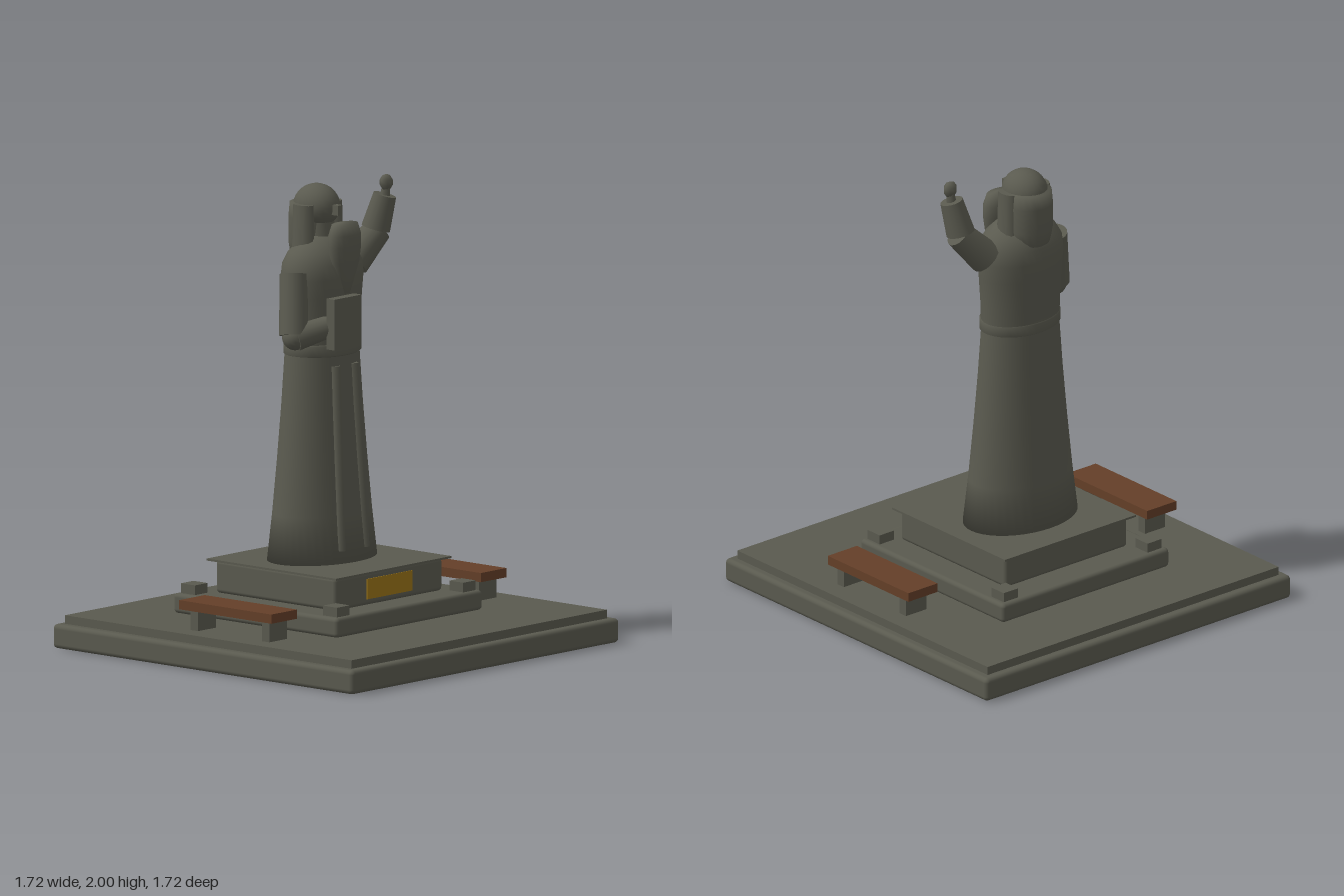
import * as THREE from 'three';
import { RoundedBoxGeometry } from 'three/addons/geometries/RoundedBoxGeometry.js';

const V = (x, y, z) => new THREE.Vector3(x, y, z);

export function createModel() {
  const model = new THREE.Group();
  model.name = 'statueMonument';
  const mat = (name, color) => {
    const m = new THREE.MeshStandardMaterial({ color });
    m.name = name;
    return m;
  };
  const stone = mat('stone', 0x5a5a4f);
  const wood = mat('wood', 0x643f28);
  const brass = mat('brass', 0x9a7418);

  const add = (name, geo, material = stone, pos = [0, 0, 0], parent = model) => {
    const m = new THREE.Mesh(geo, material);
    m.name = name;
    m.position.set(...pos);
    parent.add(m);
    return m;
  };
  // Box given by its limits on each axis; round > 0 softens the edges
  const block = (name, [x0, x1], [y0, y1], [z0, z1], material = stone, round = 0, parent = model) => {
    const s = [x1 - x0, y1 - y0, z1 - z0];
    const geo = round ? new RoundedBoxGeometry(...s, 3, round) : new THREE.BoxGeometry(...s);
    return add(name, geo, material, [(x0 + x1) / 2, (y0 + y1) / 2, (z0 + z1) / 2], parent);
  };
  // Turned shape from [radius, y] pairs, flattened front to back
  const turned = (name, pts, depth, z, segments = 32, parent = model) => {
    const geo = new THREE.LatheGeometry(pts.map(([r, y]) => new THREE.Vector2(r, y)), segments);
    geo.scale(1, 1, depth);
    return add(name, geo, stone, [0, 0, z], parent);
  };
  // Tapered cylinder between two points
  const limb = (name, a, b, ra, rb, parent = model, segments = 16) => {
    const m = add(name, new THREE.CylinderGeometry(rb, ra, a.distanceTo(b), segments), stone, [0, 0, 0], parent);
    m.position.copy(a).add(b).multiplyScalar(0.5);
    m.quaternion.setFromUnitVectors(V(0, 1, 0), b.clone().sub(a).normalize());
    return m;
  };

  // Stepped base and pedestal
  block('base', [-0.86, 0.86], [0, 0.105], [-0.86, 0.86], stone, 0.02);
  block('paving', [-0.82, 0.82], [0.1, 0.142], [-0.82, 0.82]);
  block('step', [-0.47, 0.47], [0.142, 0.228], [-0.515, 0.425], stone, 0.018);
  block('pedestal', [-0.345, 0.345], [0.228, 0.372], [-0.385, 0.305], stone, 0.018);
  block('pedestalCap', [-0.37, 0.37], [0.368, 0.377], [-0.41, 0.33]);
  block('plaque', [-0.145, 0.145], [0.255, 0.343], [0.302, 0.309], brass);
  for (const x of [-0.405, 0.405]) {
    for (const z of [-0.45, 0.363]) {
      block('cornerBlock', [x - 0.04, x + 0.04], [0.225, 0.27], [z - 0.04, z + 0.04]);
    }
  }

  // Benches on both sides
  for (const s of [-1, 1]) {
    const bench = new THREE.Group();
    bench.name = s > 0 ? 'leftBench' : 'rightBench';
    model.add(bench);
    const x = s * 0.673;
    block('benchSeat', [x - 0.082, x + 0.082], [0.23, 0.27], [-0.225, 0.303], wood, 0, bench);
    for (const z of [-0.16, 0.248]) {
      block('benchLeg', [x - 0.057, x + 0.057], [0.14, 0.231], [z - 0.021, z + 0.021], stone, 0, bench);
    }
  }

  // Robe, belt and torso
  const figure = new THREE.Group();
  figure.name = 'figure';
  model.add(figure);
  turned('robe', [[0, 0.375], [0.276, 0.375], [0.25, 0.58], [0.225, 0.82], [0.204, 1.05], [0.187, 1.28]],
    0.72, -0.08, 40, figure);
  turned('belt', [[0.18, 1.265], [0.193, 1.272], [0.193, 1.315], [0.18, 1.322]], 0.74, -0.078, 40, figure);
  turned('torso', [[0.188, 1.27], [0.192, 1.4], [0.2, 1.52], [0.208, 1.6], [0.2, 1.66], [0.17, 1.71],
    [0.125, 1.745], [0.07, 1.775], [0, 1.785]], 0.72, -0.08, 40, figure);
  for (const s of [-1, 1]) {
    limb('robeFold', V(s * 0.077, 0.43, 0.098), V(s * 0.058, 1.225, 0.048), 0.019, 0.022, figure, 8);
  }

  // Head, hair and beard
  const head = new THREE.Group();
  head.name = 'head';
  figure.add(head);
  limb('neck', V(0, 1.72, -0.09), V(0, 1.85, -0.1), 0.07, 0.065, head);
  const skull = add('skull', new THREE.SphereGeometry(0.096, 20, 14), stone, [0, 1.897, -0.11], head);
  skull.scale.z = 1.1;
  block('nose', [-0.014, 0.014], [1.868, 1.912], [-0.02, 0.024], stone, 0, head);
  turned('backHair', [[0, 1.645], [0.06, 1.65], [0.092, 1.675], [0.104, 1.74], [0.104, 1.85],
    [0.098, 1.912], [0, 1.916]], 0.9, -0.142, 20, head);
  for (const s of [-1, 1]) {
    const lock = limb('sideHair', V(s * 0.095, 1.66, -0.105), V(s * 0.09, 1.912, -0.105), 0.037, 0.034, head, 12);
    lock.scale.z = 1.5;
  }
  turned('beard', [[0, 1.53], [0.03, 1.535], [0.052, 1.6], [0.078, 1.67], [0.089, 1.74], [0.089, 1.79],
    [0.07, 1.838], [0, 1.848]], 0.58, 0.05, 20, head);

  // Raised left arm
  const leftArm = new THREE.Group();
  leftArm.name = 'leftArm';
  figure.add(leftArm);
  limb('leftUpperArm', V(0.195, 1.63, -0.08), V(0.315, 1.76, -0.04), 0.075, 0.06, leftArm);
  limb('leftForearm', V(0.306, 1.765, -0.045), V(0.332, 1.91, -0.016), 0.063, 0.05, leftArm);
  limb('leftWrist', V(0.332, 1.9, -0.016), V(0.335, 1.945, -0.012), 0.022, 0.018, leftArm, 8);
  const hand = add('leftHand', new THREE.SphereGeometry(0.036, 6, 5), stone, [0.335, 1.964, -0.011], leftArm);
  hand.scale.z = 0.75;

  // Bent right arm holding a book
  const rightArm = new THREE.Group();
  rightArm.name = 'rightArm';
  figure.add(rightArm);
  limb('rightUpperArm', V(-0.2, 1.63, -0.065), V(-0.25, 1.375, -0.02), 0.06, 0.062, rightArm);
  add('rightElbow', new THREE.SphereGeometry(0.056, 16, 12), stone, [-0.246, 1.368, -0.015], rightArm);
  limb('rightForearm', V(-0.25, 1.365, -0.01), V(-0.12, 1.405, 0.06), 0.056, 0.048, rightArm);
  add('rightHand', new THREE.SphereGeometry(0.042, 12, 8), stone, [-0.105, 1.41, 0.06], rightArm);
  block('book', [-0.156, 0.02], [1.315, 1.535], [0.085, 0.129], stone, 0, rightArm);

  return model;
}
